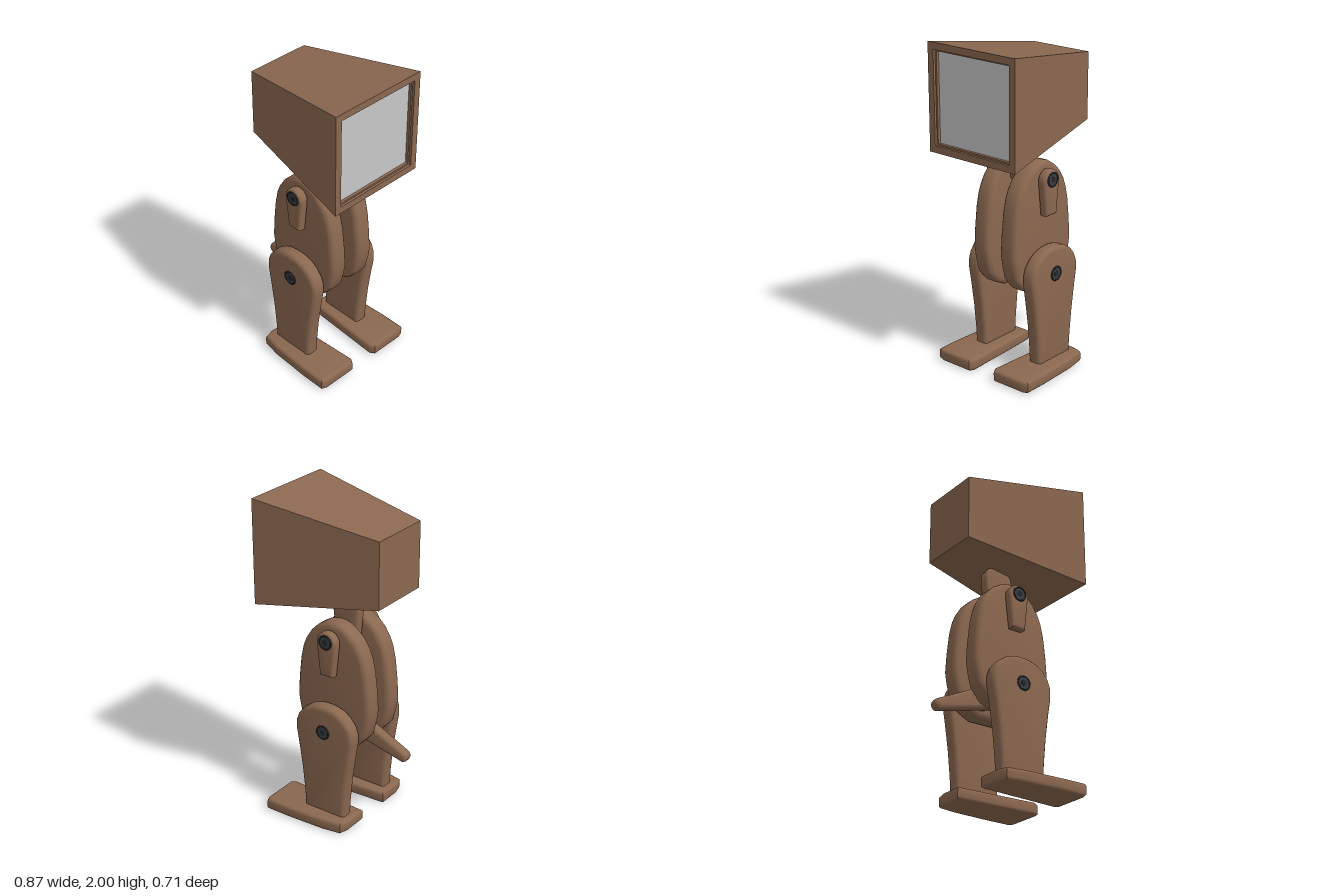
import * as THREE from 'three';
import { toCreasedNormals } from 'three/addons/utils/BufferGeometryUtils.js';

export function createModel() {
  const mat = (name, color) => {
    const m = new THREE.MeshStandardMaterial({ color });
    m.name = name;
    return m;
  };
  const wood = mat('brown wood', 0x8b6850);
  const metal = mat('dark metal', 0x3a3e42);
  const socketDark = mat('socket dark', 0x24272a);
  const glass = mat('screen grey', 0xc8c8c8);

  const model = new THREE.Group();
  const add = (name, geometry, material, x = 0, y = 0, z = 0) => {
    const mesh = new THREE.Mesh(geometry, material);
    mesh.name = name;
    mesh.position.set(x, y, z);
    model.add(mesh);
    return mesh;
  };

  // Rounded-edge board cut from an outline, centred in its thickness
  const board = (points, thickness, bevel) => {
    const depth = thickness - 2 * bevel;
    const g = new THREE.ExtrudeGeometry(
      new THREE.Shape(points.map(([x, y]) => new THREE.Vector2(x, y))),
      { depth, bevelThickness: bevel, bevelSize: bevel, bevelOffset: -bevel, bevelSegments: 3 });
    g.translate(0, 0, -depth / 2);
    return toCreasedNormals(g, 0.65);
  };
  // Right half of an outline, mirrored to the other side
  const mirrored = (half) => [...half, ...half.slice().reverse().map(([x, y]) => [-x, y])];
  const arc = (cx, cy, r, from, to, n) => Array.from({ length: n + 1 }, (_, i) => {
    const a = from + (to - from) * i / n;
    return [cx + r * Math.cos(a), cy + r * Math.sin(a)];
  });
  const pin = (r, length) => new THREE.CylinderGeometry(r, r, length, 24).rotateX(Math.PI / 2);

  // Head: square profile swept round the x axis, ending in a stepped screen recess
  const profile = [[0, -0.35], [0.203, -0.35], [0.32, 0.425], [0.322, 0.435], [0.28, 0.435],
    [0.28, 0.42], [0.27, 0.42], [0.27, 0.4]];
  const head = new THREE.LatheGeometry(
    profile.map(([r, x]) => new THREE.Vector2(r * Math.SQRT2, x)), 4)
    .rotateY(Math.PI / 4).rotateZ(-Math.PI / 2).toNonIndexed();
  head.computeVertexNormals();
  add('head', head, wood, 0, 1.678, 0);
  add('screen', new THREE.PlaneGeometry(0.54, 0.54).rotateY(Math.PI / 2), glass, 0.402, 1.678, 0);

  // Neck
  add('neck', board(mirrored([[0.045, 1.14], [0.075, 1.17], [0.085, 1.27], [0.095, 1.36],
    [0.09, 1.4], [0.06, 1.44]]), 0.07, 0.015), wood);

  // Tail, tapering from the hip pin to a rounded tip
  add('tail', board([...arc(0, 0.615, 0.085, -1.9, 1.95, 14),
    ...arc(-0.402, 0.477, 0.035, 2.0, 4.6, 8)], 0.07, 0.022), wood);

  const bodyOutline = mirrored([[0.09, 0.49], [0.17, 0.53], [0.23, 0.6], [0.252, 0.69], [0.263, 0.76],
    [0.255, 0.88], [0.24, 1.01], [0.222, 1.09], [0.2, 1.145], [0.165, 1.2], [0.12, 1.245],
    [0.07, 1.277], [0.025, 1.29]]);
  const armOutline = [[-0.045, 0.975], [0.045, 0.975],
    ...arc(0, 1.187, 0.068, -0.1, Math.PI + 0.1, 14)];
  const legOutline = mirrored([[0.143, 0.06], [0.15, 0.17], [0.165, 0.32], [0.185, 0.46],
    [0.205, 0.58], [0.205, 0.64], [0.187, 0.69], [0.15, 0.735], [0.105, 0.765],
    [0.055, 0.781], [0.018, 0.785]]);
  const footOutline = [[-0.185, 0.11], [0.345, 0.08], [0.375, 0.1], [0.375, 0.32],
    [0.362, 0.354], [0.2, 0.354], [-0.05, 0.342], [-0.168, 0.322], [-0.185, 0.26]];

  // Bolt head with a rim and a hexagonal socket
  const bolt = (name, y, z, side) => {
    add(name, pin(0.046, 0.03), metal, 0, y, side * (z - 0.011));
    add(name + 'Rim', new THREE.TorusGeometry(0.041, 0.005, 8, 28), socketDark, 0, y, side * (z + 0.002));
    add(name + 'Socket', new THREE.CylinderGeometry(0.02, 0.02, 0.004, 6).rotateX(Math.PI / 2),
      socketDark, 0, y, side * (z + 0.003));
  };

  for (const side of [1, -1]) {
    const label = side > 0 ? 'left' : 'right';
    add(label + 'BodyPlate', board(bodyOutline, 0.12, 0.032), wood, 0, 0, side * 0.104);
    add(label + 'Arm', board(armOutline, 0.06, 0.017), wood, 0, 0, side * 0.2);
    add(label + 'Leg', board(legOutline, 0.092, 0.026), wood, 0, 0, side * 0.215);

    // Foot, laid flat
    const foot = board(footOutline.map(([x, z]) => [x, -side * z]), 0.075, 0.018);
    add(label + 'Foot', foot.rotateX(-Math.PI / 2), wood, 0, 0.0375, 0);

    // Pins joining the boards
    add(label + 'ShoulderPin', pin(0.036, 0.2), wood, 0, 1.195, side * 0.1);
    add(label + 'HipPin', pin(0.042, 0.22), wood, 0, 0.62, side * 0.11);
    bolt(label + 'ShoulderBolt', 1.195, 0.23, side);
    bolt(label + 'HipBolt', 0.62, 0.261, side);
  }
  return model;
}
